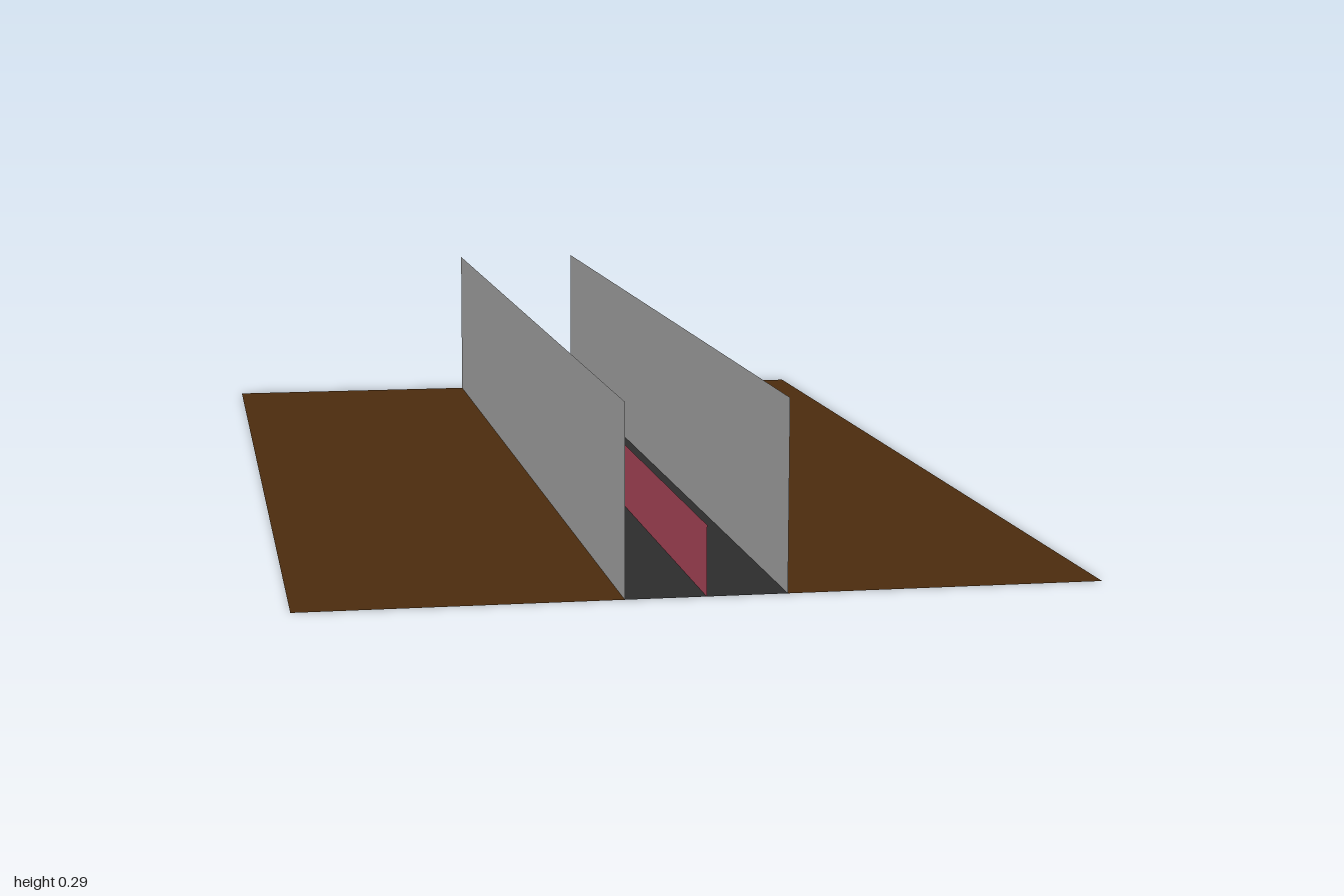
import * as THREE from 'three';

const LENGTH = 2, HALF_WIDTH = 0.597, HALF_TRACK = 0.12;
const WALL_HEIGHT = 0.287, RIB_HEIGHT = 0.105;

function paint(name, color) {
  const material = new THREE.MeshStandardMaterial({ color, side: THREE.DoubleSide });
  material.name = name;
  return material;
}

export function createModel() {
  const group = new THREE.Group();
  group.name = 'trackSection';
  const brown = paint('earthBrown', 0x4d2d0e);
  const charcoal = paint('charcoal', 0x2e2e2e);
  const grey = paint('wallGrey', 0x989898);
  const red = paint('dullRed', 0x9e4052);

  // Flat sheet lying on the ground
  const floor = (name, x0, x1, material) => {
    const geometry = new THREE.PlaneGeometry(x1 - x0, LENGTH).rotateX(-Math.PI / 2);
    const mesh = new THREE.Mesh(geometry, material);
    mesh.name = name;
    mesh.position.x = (x0 + x1) / 2;
    group.add(mesh);
  };

  // Thin upright sheet running along z
  const upright = (name, x, height, material) => {
    const geometry = new THREE.PlaneGeometry(LENGTH, height).rotateY(Math.PI / 2);
    const mesh = new THREE.Mesh(geometry, material);
    mesh.name = name;
    mesh.position.set(x, height / 2, 0);
    group.add(mesh);
  };

  // Ground on both sides of the central channel
  floor('rightGround', -HALF_WIDTH, -HALF_TRACK, brown);
  floor('leftGround', HALF_TRACK, HALF_WIDTH, brown);
  floor('channelFloor', -HALF_TRACK, HALF_TRACK, charcoal);

  // Channel walls and the low rib between them
  upright('rightWall', -HALF_TRACK, WALL_HEIGHT, grey);
  upright('leftWall', HALF_TRACK, WALL_HEIGHT, grey);
  upright('centreRib', 0, RIB_HEIGHT, red);

  return group;
}
